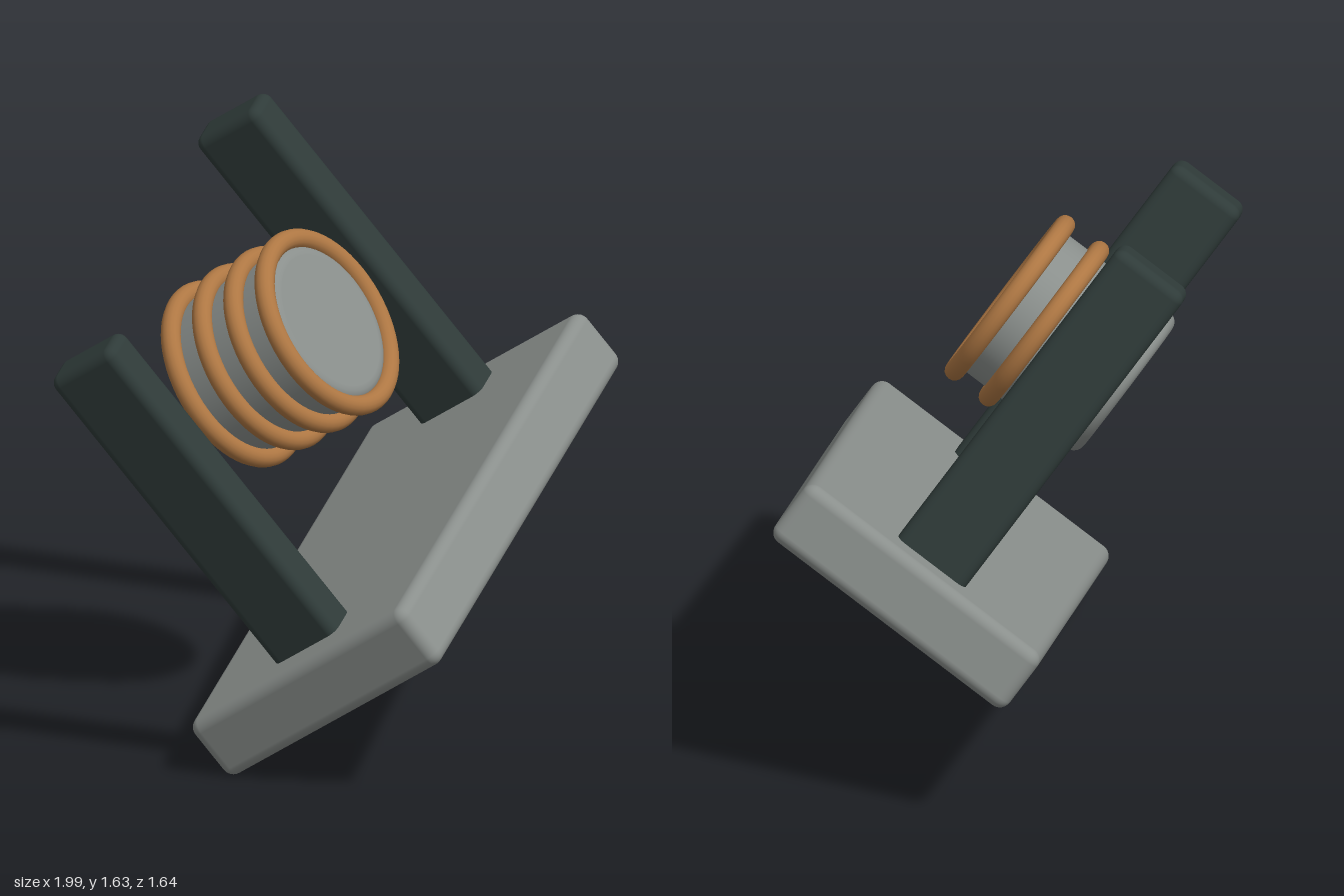
import * as THREE from 'three';
import { RoundedBoxGeometry } from 'three/addons/geometries/RoundedBoxGeometry.js';

export function createModel() {
  const grey = new THREE.MeshStandardMaterial({ color: 0x8a8f8c });
  grey.name = 'steelGrey';
  const dark = new THREE.MeshStandardMaterial({ color: 0x2f3b39 });
  dark.name = 'darkGreen';
  const copper = new THREE.MeshStandardMaterial({ color: 0xae7743 });
  copper.name = 'copper';

  const model = new THREE.Group();
  model.name = 'coilStand';

  // Everything is built upright, then tipped as one tilted assembly
  const assembly = new THREE.Group();
  assembly.name = 'tiltedAssembly';
  const along = new THREE.Vector3(0.808, 0.251, -0.533).normalize();
  const depth = new THREE.Vector3(0.332, 0.552, 0.765);
  const up = new THREE.Vector3().crossVectors(depth, along).normalize();
  depth.crossVectors(along, up);
  assembly.quaternion.setFromRotationMatrix(new THREE.Matrix4().makeBasis(along, up, depth));
  assembly.position.set(0.165, 0.495, 0.045);
  model.add(assembly);

  function add(name, geometry, material, x = 0, y = 0, z = 0) {
    const mesh = new THREE.Mesh(geometry, material);
    mesh.name = name;
    mesh.position.set(x, y, z);
    assembly.add(mesh);
    return mesh;
  }

  // Base slab
  add('base', new RoundedBoxGeometry(1.65, 0.2, 0.825, 4, 0.035), grey);

  // Two upright posts
  const postGeometry = new RoundedBoxGeometry(0.13, 1.08, 0.237, 4, 0.03);
  for (const side of [-1, 1]) {
    add(side < 0 ? 'rightPost' : 'leftPost', postGeometry, dark, side * 0.65, 0.61, 0);
  }

  // Core drum with softly rounded rims
  const radius = 0.24, bevel = 0.035, back = -0.15, front = 0.28;
  const profile = [new THREE.Vector2(0, back), new THREE.Vector2(radius - bevel - 0.004, back)];
  for (const end of [-1, 1]) {
    for (let i = 0; i <= 5; i++) {
      const a = (end < 0 ? i / 5 - 1 : i / 5) * Math.PI / 2;
      const centre = end < 0 ? back + bevel : front - bevel;
      profile.push(new THREE.Vector2(radius - bevel + bevel * Math.cos(a), centre + bevel * Math.sin(a)));
    }
  }
  profile.push(new THREE.Vector2(radius - bevel - 0.004, front), new THREE.Vector2(0, front));
  add('coreDrum', new THREE.LatheGeometry(profile, 64), grey, 0, 0.685, 0).rotation.x = Math.PI / 2;

  // Copper winding rings
  const ringGeometry = new THREE.TorusGeometry(0.2565, 0.0285, 16, 64);
  for (let i = 0; i < 4; i++) {
    add('windingRing' + (i + 1), ringGeometry, copper, 0, 0.685, -0.094 + i * 0.12);
  }

  return model;
}
